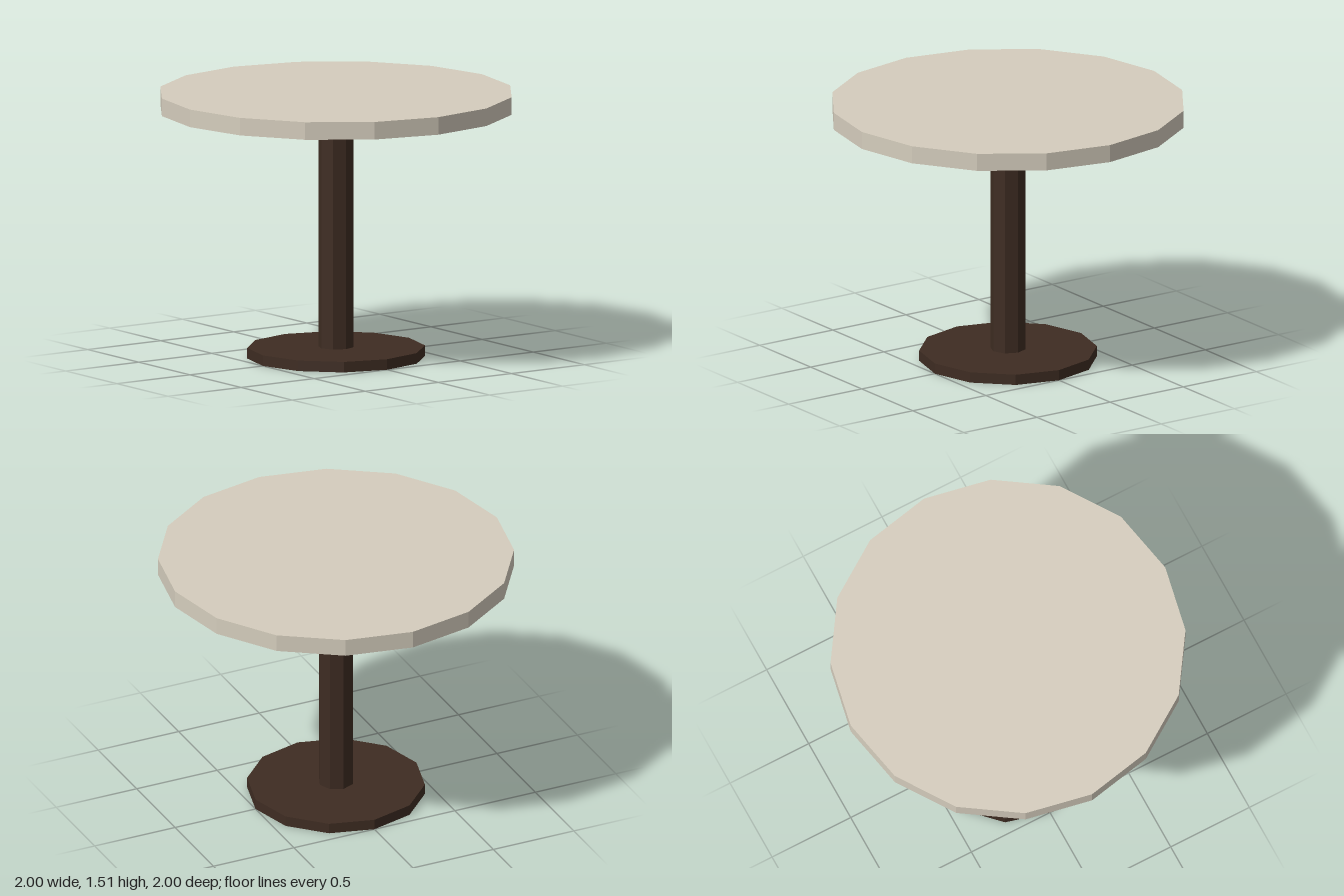
import * as THREE from 'three';

export function createModel() {
  const table = new THREE.Group();
  table.name = 'pedestalTable';

  const stone = new THREE.MeshStandardMaterial({ color: 0xd5cdbd, flatShading: true });
  stone.name = 'pale stone';
  const wood = new THREE.MeshStandardMaterial({ color: 0x3e2c22, flatShading: true });
  wood.name = 'dark wood';

  // Upright faceted disc or post spanning two heights
  function addRound(name, radius, bottom, top, sides, material) {
    const geometry = new THREE.CylinderGeometry(radius, radius, top - bottom, sides);
    const mesh = new THREE.Mesh(geometry, material);
    mesh.name = name;
    mesh.position.y = (bottom + top) / 2;
    table.add(mesh);
  }

  addRound('base', 0.5, 0, 0.06, 12, wood);
  addRound('column', 0.1, 0.06, 1.41, 8, wood);
  addRound('tabletop', 1, 1.41, 1.51, 16, stone);

  return table;
}
